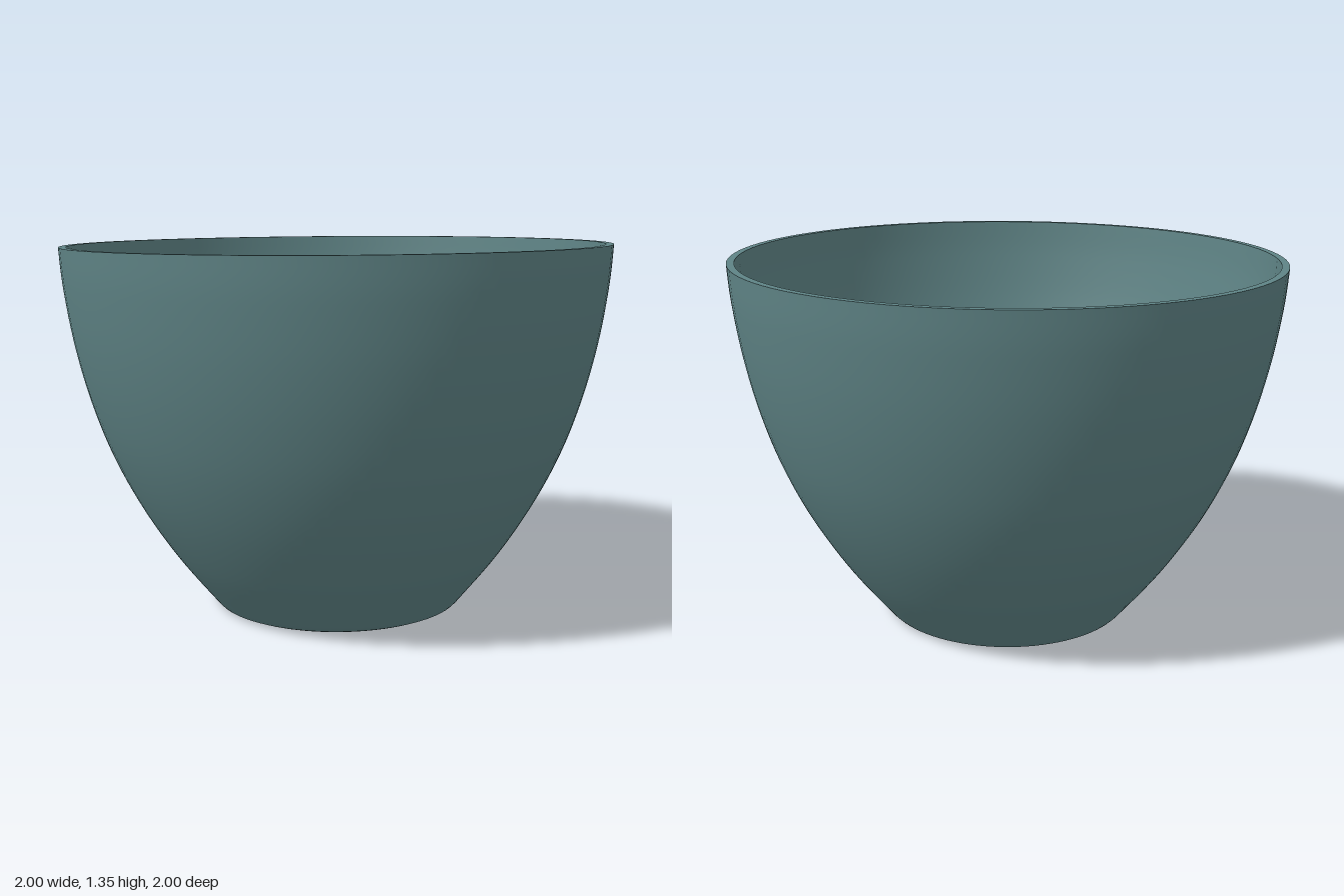
import * as THREE from 'three';

export function createModel() {
  const model = new THREE.Group();
  model.name = 'planter';
  const glaze = new THREE.MeshStandardMaterial({ color: 0x5f8486 });
  glaze.name = 'grey teal glaze';

  const add = (name, geometry) => {
    const mesh = new THREE.Mesh(geometry, glaze);
    mesh.name = name;
    model.add(mesh);
  };
  const height = 1.338, wall = 0.027, floorTop = 0.04, floorRadius = 0.43, segments = 96;
  const lathe = (points) => new THREE.LatheGeometry(points, segments);

  // Curved side profile, sampled from a few points
  const side = new THREE.SplineCurve([
    [0.47, 0.02], [0.612, 0.2], [0.74, 0.4], [0.838, 0.6],
    [0.908, 0.8], [0.957, 1.0], [0.988, 1.2], [0.999, height],
  ].map(([x, y]) => new THREE.Vector2(x, y))).getPoints(40);

  // Outer wall with a softly rounded foot
  const foot = [[floorRadius, 0], [0.442, 0.001], [0.458, 0.008]].map(([x, y]) => new THREE.Vector2(x, y));
  add('outerWall', lathe([...foot, ...side]));

  // Narrow flat rim
  add('rim', lathe([new THREE.Vector2(0.999, height), new THREE.Vector2(0.999 - wall, height)]));

  // Inner wall, running down to the floor
  const inner = side.filter((p) => p.y > floorTop + 0.02).reverse()
    .map((p) => new THREE.Vector2(p.x - wall, p.y));
  inner.push(new THREE.Vector2(0.458, floorTop + 0.004), new THREE.Vector2(0.445, floorTop),
    new THREE.Vector2(floorRadius, floorTop));
  add('innerWall', lathe(inner));

  // Floor pierced by three drain holes
  const disc = new THREE.Shape().absarc(0, 0, floorRadius, 0, Math.PI * 2);
  for (const [x, z] of [[-0.01, -0.315], [-0.26, 0.17], [0.29, 0.14]]) {
    disc.holes.push(new THREE.Path().absarc(x, -z, 0.035, 0, Math.PI * 2, true));
  }
  const floor = new THREE.ExtrudeGeometry(disc, { depth: floorTop, bevelEnabled: false, curveSegments: 48 });
  floor.rotateX(-Math.PI / 2);
  add('floor', floor);

  // The pot leans very slightly
  model.rotation.z = 0.008;
  model.position.set(0.01, 0.005, 0);
  const group = new THREE.Group();
  group.add(model);
  return group;
}
